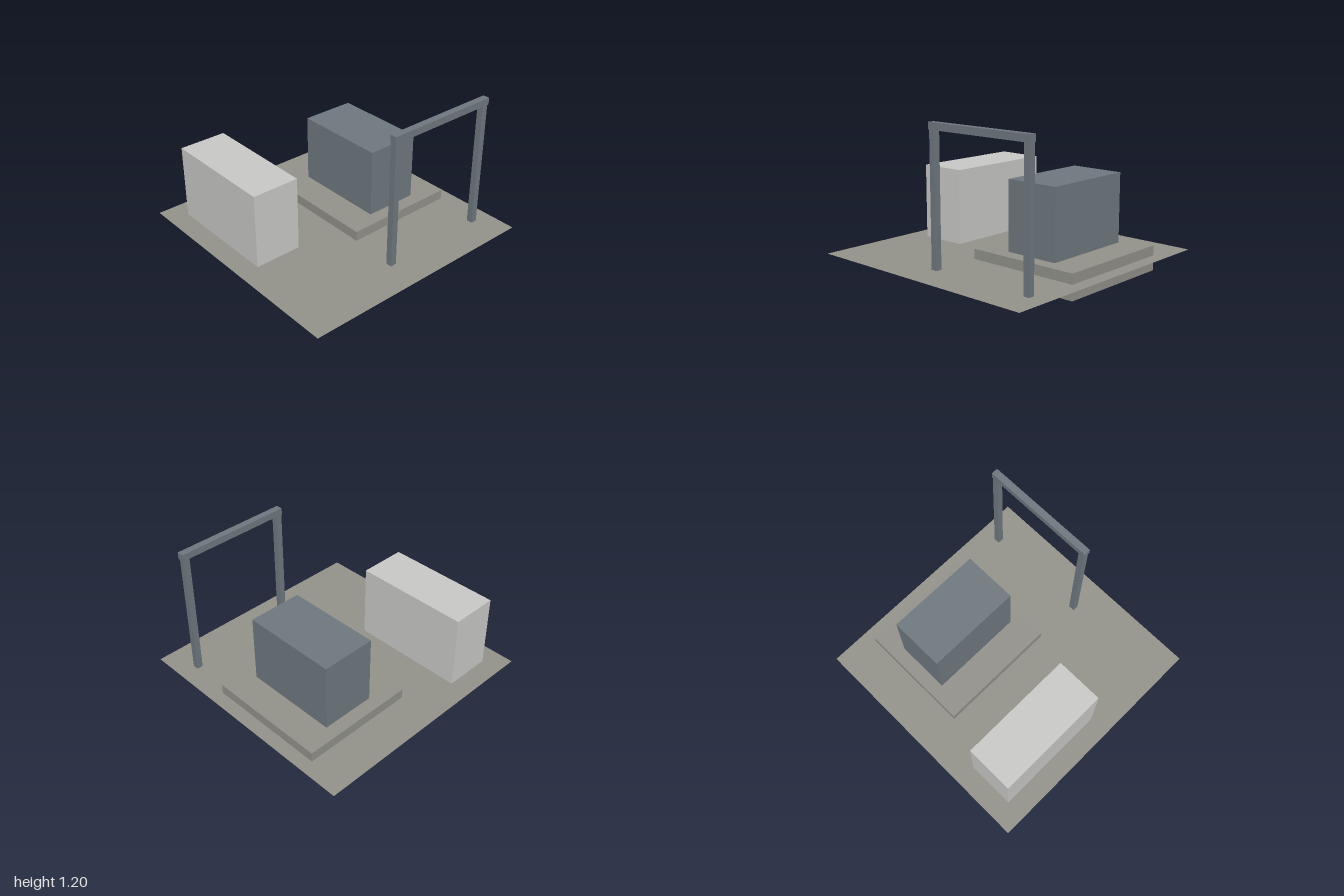
import * as THREE from 'three';

const material = (name, color, side = THREE.FrontSide) => {
  const m = new THREE.MeshStandardMaterial({ color, side });
  m.name = name;
  return m;
};

// Box given by its [min, max] extents on each axis
function block(name, [x0, x1], [y0, y1], [z0, z1], mat) {
  const mesh = new THREE.Mesh(new THREE.BoxGeometry(x1 - x0, y1 - y0, z1 - z0), mat);
  mesh.position.set((x0 + x1) / 2, (y0 + y1) / 2, (z0 + z1) / 2);
  mesh.name = name;
  return mesh;
}

export function createModel() {
  const concrete = material('concrete', 0x92918a, THREE.DoubleSide);
  const steel = material('blueGreySteel', 0x6f787f);
  const paleGrey = material('paleGrey', 0xc8c8c6);
  const floor = 0.12;
  const model = new THREE.Group();
  model.name = 'equipmentYard';

  // Thin ground sheet
  const ground = new THREE.Mesh(new THREE.PlaneGeometry(2, 2).rotateX(-Math.PI / 2), concrete);
  ground.position.y = floor;
  ground.name = 'ground';

  // Plinth sunk through the ground, open underneath
  const plinth = block('plinth', [-0.667, 0.333], [0, 0.2], [-0.89, 0.055], concrete);
  const index = Array.from(plinth.geometry.index.array);
  index.splice(18, 6); // drop the bottom face
  plinth.geometry.setIndex(index);
  plinth.geometry.clearGroups();

  // Main unit on the plinth and the cabinet in front
  const unit = block('mainUnit', [-0.556, 0.222], [0.2, 0.755], [-0.64, -0.195], steel);
  const cabinet = block('cabinet', [-0.834, 0.11], [floor, 0.727], [0.446, 0.834], paleGrey);

  // Gantry: two posts and a crossbeam
  const gantry = new THREE.Group();
  gantry.name = 'gantry';
  for (const z of [0.059, -0.832]) {
    gantry.add(block('post', [0.695, 0.745], [floor, 1.145], [z - 0.025, z + 0.025], steel));
  }
  gantry.add(block('crossbeam', [0.695, 0.75], [1.145, 1.2], [-0.865, 0.09], steel));

  model.add(ground, plinth, unit, cabinet, gantry);
  return model;
}
